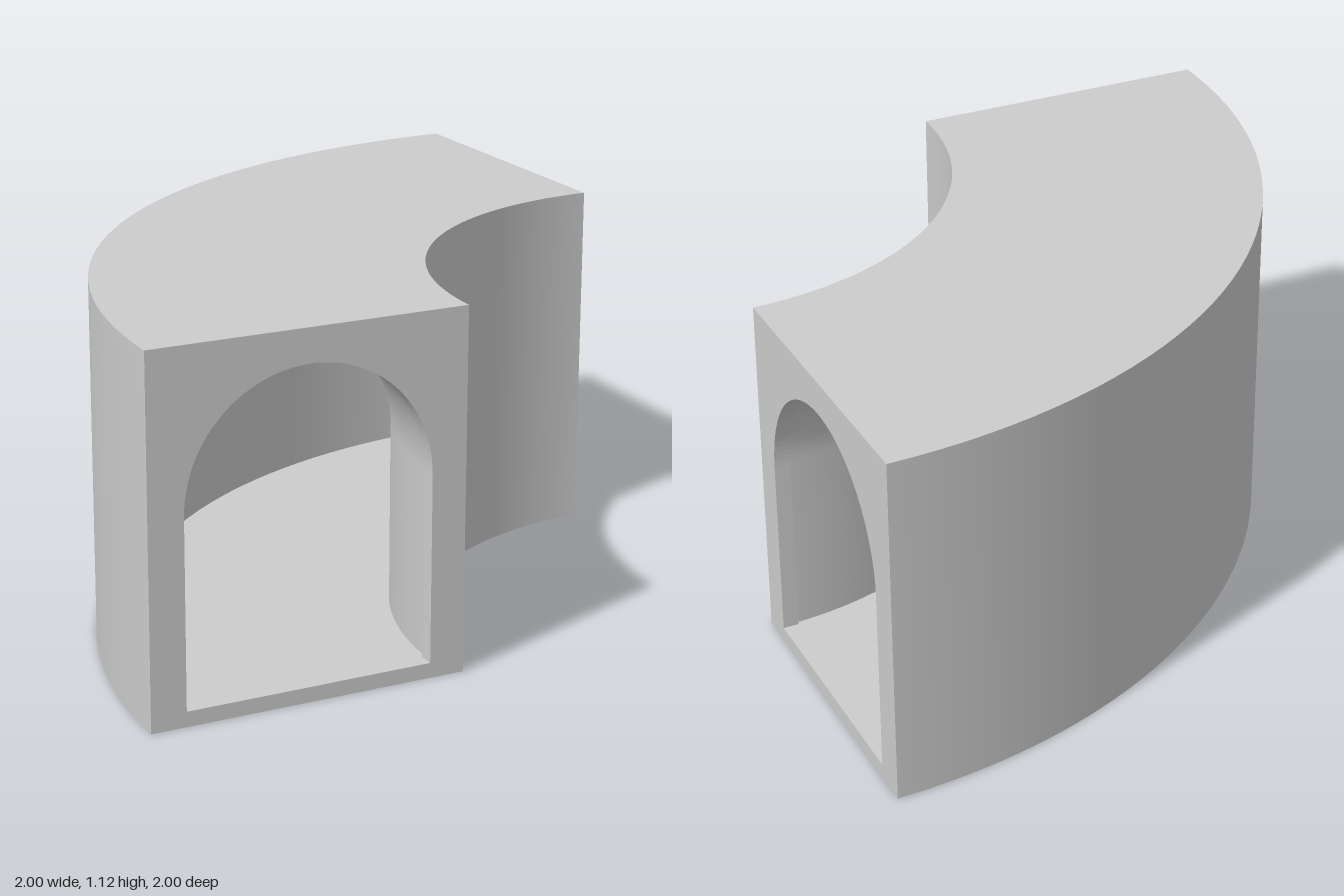
import * as THREE from 'three';

const H = 1.122;         // block height
const FLOOR = 0.047;     // passage floor level
const SPRING = 0.627;    // where the arch begins
const DOOR = 0.39;       // doorway arch radius
const R = 0.4;           // passage arch radius, a little wider than the doorways
const MID = 1.5;         // bend radius of the passage centreline
const LIP = 0.05;        // depth of the door frames

export function createModel() {
  const stone = new THREE.MeshStandardMaterial({ color: 0xcccccc, side: THREE.DoubleSide });
  stone.name = 'grey stone';

  const model = new THREE.Group();
  model.name = 'curvedTunnel';

  const add = (parent, name, geometry) => {
    const mesh = new THREE.Mesh(geometry, stone);
    mesh.name = name;
    parent.add(mesh);
    return mesh;
  };

  const lathe = (profile, ...args) =>
    new THREE.LatheGeometry(profile.map(([r, y]) => new THREE.Vector2(r, y)), ...args);

  // Sweep a (radius, height) profile through the quarter bend
  const sweep = (name, profile) => {
    const mesh = add(model, name, lathe(profile, 40, Math.PI, Math.PI / 2));
    mesh.position.set(1, 0, 1);
  };

  // Outer shell, open underneath on both sides of the floor slab
  sweep('outerWall', [[2, 0], [2, H]]);
  sweep('roof', [[2, H], [1, H]]);
  sweep('innerWall', [[1, H], [1, 0]]);

  // Floor slab
  sweep('passageFloor', [[MID + R, FLOOR], [MID - R, FLOOR]]);
  sweep('slabUnderside', [[MID - R, 0], [MID + R, 0]]);

  // Barrel vault, its walls running down to the ground
  const vault = [[MID - R, 0]];
  for (let i = 0; i <= 32; i++) {
    const a = Math.PI * (1 - i / 32);
    vault.push([MID + R * Math.cos(a), SPRING + R * Math.sin(a)]);
  }
  vault.push([MID + R, 0]);
  sweep('passageVault', vault);

  // End wall: a thin sheet with an arched opening
  const wall = new THREE.Shape();
  wall.moveTo(-1, 0).lineTo(0, 0).lineTo(0, H).lineTo(-1, H).closePath();
  const opening = new THREE.Path();
  opening.moveTo(-0.5 - R, FLOOR).lineTo(-0.5 - R, SPRING);
  opening.absarc(-0.5, SPRING, R, Math.PI, 0, true);
  opening.lineTo(-0.5 + R, FLOOR).closePath();
  wall.holes.push(opening);
  const wallGeometry = new THREE.ShapeGeometry(wall, 32).translate(0, 0, 1);

  // Narrow arched frame that lines the opening
  const frame = new THREE.Shape();
  frame.moveTo(-0.5 - R, FLOOR).lineTo(-0.5 - R, SPRING);
  frame.absarc(-0.5, SPRING, R, Math.PI, 0, true);
  frame.lineTo(-0.5 + R, FLOOR).lineTo(-0.5 + DOOR, FLOOR).lineTo(-0.5 + DOOR, SPRING);
  frame.absarc(-0.5, SPRING, DOOR, 0, Math.PI, false);
  frame.lineTo(-0.5 - DOOR, FLOOR).closePath();
  const frameGeometry = new THREE.ExtrudeGeometry(frame, { depth: LIP, bevelEnabled: false, curveSegments: 32 });
  frameGeometry.translate(0, 0, 1 - LIP);

  for (const name of ['frontDoorway', 'sideDoorway']) {
    const doorway = new THREE.Group();
    doorway.name = name;
    add(doorway, 'endWall', wallGeometry);
    add(doorway, 'doorFrame', frameGeometry);
    if (name === 'sideDoorway') {
      doorway.rotation.y = Math.PI / 2;
      doorway.position.z = -1;
    }
    model.add(doorway);
  }

  // Candle shelf halfway round the outer passage wall
  const shelf = new THREE.Group();
  shelf.name = 'candleShelf';
  const at = 1 - (MID + R) * Math.SQRT1_2;
  shelf.position.set(at, 0.45, at);
  shelf.rotation.y = Math.PI / 4;
  model.add(shelf);

  const bracket = new THREE.Shape();
  bracket.moveTo(0, 0).lineTo(0, -0.085).lineTo(0.016, -0.085);
  bracket.quadraticCurveTo(0.052, -0.065, 0.068, -0.03);
  bracket.lineTo(0.068, 0).closePath();
  const width = 0.17;
  const bracketGeometry = new THREE.ExtrudeGeometry(bracket, { depth: width, bevelEnabled: false, curveSegments: 6 });
  bracketGeometry.translate(0, 0, -width / 2).rotateY(-Math.PI / 2);
  add(shelf, 'shelfBracket', bracketGeometry);

  // Three candles: a wax stick and a pointed flame each
  for (const [x, height] of [[-0.05, 0.065], [-0.004, 0.09], [0.047, 0.053]]) {
    const waxHeight = height - 0.035;
    const wax = add(shelf, 'candle', new THREE.CylinderGeometry(0.009, 0.009, waxHeight, 12));
    wax.position.set(x, waxHeight / 2, 0.045);
    const flame = add(shelf, 'flame',
      lathe([[0, 0], [0.008, 0.003], [0.009, 0.008], [0.005, 0.022], [0, 0.035]], 12));
    flame.position.set(x, waxHeight, 0.045);
  }

  return model;
}
